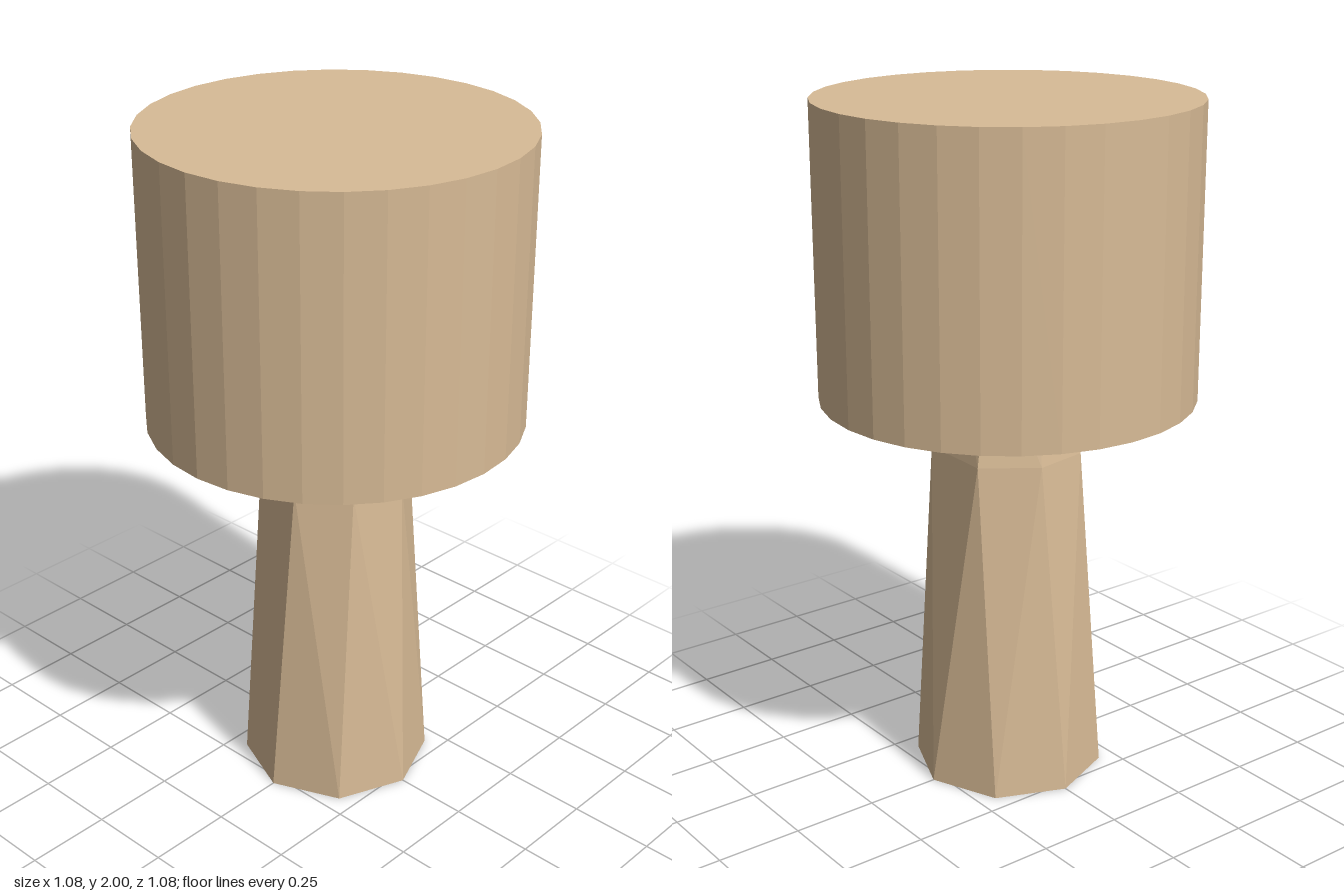
import * as THREE from 'three';

// Point on a ring; azimuth in degrees, measured from +z towards +x
function ringPoint(r, y, deg) {
  const a = THREE.MathUtils.degToRad(deg);
  return new THREE.Vector3(r * Math.sin(a), y, r * Math.cos(a));
}

// Join two rings that may have different numbers of corners
function bridge(out, lo, hi) {
  const n = lo.angles.length, m = hi.angles.length;
  const ang = (ring, i) => ring.angles[i % ring.angles.length] + 360 * Math.floor(i / ring.angles.length);
  const pt = (ring, i) => ringPoint(ring.r, ring.y, ang(ring, i));
  let i = 0, j = 0;
  while (i < n || j < m) {
    if (j >= m || (i < n && ang(lo, i + 1) <= ang(hi, j + 1))) {
      out.push(pt(lo, i), pt(lo, i + 1), pt(hi, j));
      i++;
    } else {
      out.push(pt(lo, i), pt(hi, j + 1), pt(hi, j));
      j++;
    }
  }
}

// Flat end of a ring
function cap(out, ring, up) {
  const c = new THREE.Vector3(0, ring.y, 0);
  ring.angles.forEach((a, i) => {
    const p = ringPoint(ring.r, ring.y, a);
    const q = ringPoint(ring.r, ring.y, ring.angles[(i + 1) % ring.angles.length]);
    if (up) out.push(c, p, q);
    else out.push(c, q, p);
  });
}

function facet(geometry) {
  const g = geometry.index ? geometry.toNonIndexed() : geometry;
  g.computeVertexNormals();
  return g;
}

export function createModel() {
  const model = new THREE.Group();
  const tan = new THREE.MeshStandardMaterial({ color: 0xd8bb96 });
  tan.name = 'tan';
  const add = (name, geometry) => {
    const mesh = new THREE.Mesh(facet(geometry), tan);
    mesh.name = name;
    model.add(mesh);
  };

  // Hollow drum with a closed top
  const profile = [[0, 1.93], [0.47, 1.93], [0.47, 1.155], [0.54, 1.155], [0.54, 2], [0, 2]]
    .map(([x, y]) => new THREE.Vector2(x, y));
  add('shade', new THREE.LatheGeometry(profile, 32));

  // Roughly carved, tapering stem: eight corners at the foot, seven at the shoulder
  const shoulder = [11, 56, 101, 146, 210, 258, 303];
  const rings = [
    { r: 0.28, y: 0, angles: [0, 45, 90, 135, 180, 225, 270, 315] },
    { r: 0.22, y: 1.0, angles: shoulder },
    { r: 0.15, y: 1.35, angles: shoulder.map((a) => a + 4) },
  ];
  const points = [];
  cap(points, rings[0], false);
  bridge(points, rings[0], rings[1]);
  bridge(points, rings[1], rings[2]);
  cap(points, rings[2], true);
  add('stem', new THREE.BufferGeometry().setFromPoints(points));

  // Slim neck holding the shade
  const neck = new THREE.CylinderGeometry(0.04, 0.04, 0.6, 8, 1, true);
  neck.translate(0, 1.64, 0);
  add('neck', neck);

  return model;
}
